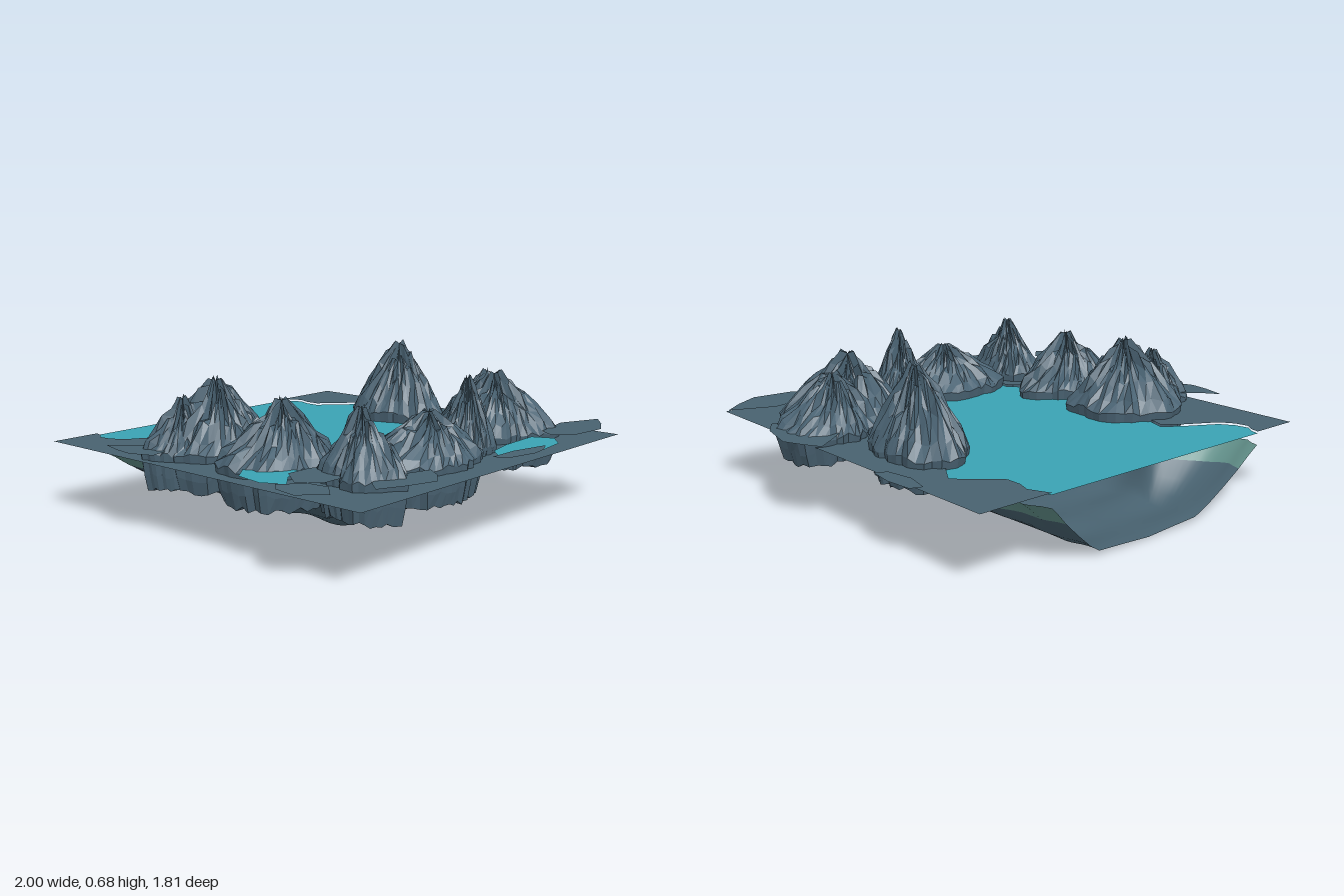
import * as THREE from 'three';

const material = (name, color, sheet) => {
  const m = new THREE.MeshStandardMaterial({ color });
  m.name = name;
  if (sheet) m.side = THREE.DoubleSide;
  return m;
};

// small seeded random generator
function seeded(seed) {
  let s = seed * 7919 + 17;
  return () => {
    s = (s * 16807) % 2147483647;
    return s / 2147483647;
  };
}

// shoreline from back left, round the front, to back right: [x, z]
const SHORE = [
  [-0.67, -0.91], [-0.68, -0.87], [-0.71, -0.83], [-0.7, -0.77], [-0.66, -0.71], [-0.52, -0.63], [-0.44, -0.57],
  [-0.47, -0.48], [-0.6, -0.25], [-0.62, 0], [-0.58, 0.2], [-0.41, 0.41], [-0.43, 0.47], [-0.25, 0.53], [0, 0.55],
  [0.24, 0.47], [0.42, 0.38], [0.55, 0.15], [0.58, -0.15], [0.63, -0.42],
  [0.71, -0.54], [0.65, -0.6], [0.55, -0.69], [0.55, -0.76], [0.57, -0.82], [0.53, -0.91],
];

// horizontal sheet from [x, z] points
function sheet(name, points, y, mat) {
  const shape = new THREE.Shape(points.map(([x, z]) => new THREE.Vector2(x, -z)));
  const geo = new THREE.ShapeGeometry(shape);
  geo.rotateX(-Math.PI / 2);
  geo.translate(0, y, 0);
  const mesh = new THREE.Mesh(geo, mat);
  mesh.name = name;
  return mesh;
}

// grid of vertices: rows of equal length turned into triangles
function gridGeometry(rows) {
  const n = rows[0].length, index = [];
  for (let i = 0; i < rows.length - 1; i++)
    for (let j = 0; j < n - 1; j++) {
      const a = i * n + j, b = a + n;
      index.push(a, b, a + 1, a + 1, b, b + 1);
    }
  const geo = new THREE.BufferGeometry();
  geo.setAttribute('position', new THREE.Float32BufferAttribute(rows.flat(2), 3));
  geo.setIndex(index);
  return geo;
}

// craggy peak with a rocky skirt; radii are taken every 30 degrees round the tip, from +x towards +z
function mountain([x, z, height, foot], radii, seed, mat) {
  const rnd = seeded(seed), N = 48;
  for (let i = 0; i < 5; i++) rnd();
  const outline = [];
  for (let j = 0; j < N; j++) {
    const k = Math.floor(j / 4), r = THREE.MathUtils.lerp(radii[k], radii[(k + 1) % 12], (j % 4) / 4);
    outline.push(r * (1 + (rnd() - 0.5) * 0.09));
  }
  // [spread, height]: foot, skirt, then the slopes up to the tip
  const levels = [[0, foot], [0.87, foot], [0.94, foot + 0.06], [1, 0.34]];
  const rise = height - 0.34;
  for (const [r, t] of [[0.84, 0.19], [0.65, 0.4], [0.46, 0.6], [0.27, 0.75], [0.11, 0.88], [0, 1]])
    levels.push([r, 0.34 + rise * t]);
  const rows = levels.map(([r, y], i) => {
    const slope = i > 3 && r > 0;
    const row = [];
    for (let j = 0; j < N; j++) {
      const a = (j / N) * Math.PI * 2;
      const k = r * outline[j] * (slope ? 1 + (rnd() - 0.5) * 0.2 : 1);
      const lift = slope ? (rnd() - 0.5) * 0.4 * rise * (1.1 - r) : i > 0 && r > 0 ? (rnd() - 0.5) * 0.025 : 0;
      row.push([x + Math.cos(a) * k, y + lift, z + Math.sin(a) * k]);
    }
    row.push(row[0]);
    return row;
  });
  const geo = gridGeometry(rows).toNonIndexed();
  geo.computeVertexNormals();
  const mesh = new THREE.Mesh(geo, mat);
  mesh.name = 'mountain';
  return mesh;
}

export function createModel() {
  const model = new THREE.Group();
  model.name = 'mountainLake';
  const rock = material('slate rock', 0x4a6373);
  const ground = material('slate ground', 0x486270, true);
  const water = material('teal water', 0x3aa3b4, true);
  const shallows = material('green shallows', 0x618f89, true);

  // ground around the water, and the water surface
  const corners = [[-0.9, -0.91], [-0.9, 0.86], [0.87, 0.86], [0.87, -0.91]];
  model.add(sheet('ground', [...corners, ...[...SHORE].reverse()], 0.31, ground));
  model.add(sheet('lakeWater', SHORE, 0.302, water));

  // lake bed: the shoreline blended level by level into a narrow channel, open at the back
  const curve = new THREE.CatmullRomCurve3(SHORE.map(([x, z]) => new THREE.Vector3(x, 0, z)));
  const line = curve.getSpacedPoints(100);
  const bedRow = ([t, y, narrow = 1]) => line.map((p) => {
    const channel = THREE.MathUtils.clamp(p.x * 0.7, -0.28, 0.28) * narrow;
    const pz = -0.91 + (p.z + 0.91) * THREE.MathUtils.lerp(1.07, 0.82, t);
    const wave = narrow > 0 ? 0.008 * Math.sin(pz * 21 + 1) : 0;
    return [THREE.MathUtils.lerp(p.x, channel, t), y + wave, pz];
  });
  const bed = (name, levels, mat) => {
    const geo = gridGeometry(levels.map(bedRow));
    geo.computeVertexNormals();
    const mesh = new THREE.Mesh(geo, mat);
    mesh.name = name;
    model.add(mesh);
  };
  bed('lakeBedRim', [[0, 0.245], [0.14, 0.21], [0.3, 0.165]], shallows);
  bed('lakeBedFloor', [
    [0.3, 0.165], [0.55, 0.105], [0.8, 0.05], [1, 0.016], [1, 0.009, 0.5], [1, 0.006, 0],
  ], ground);

  // mountains: [tip x, tip z, height, foot height], radii
  [
    [[-0.56, -0.23, 0.61, 0.18], [0.25, 0.27, 0.21, 0.23, 0.22, 0.26, 0.26, 0.27, 0.26, 0.31, 0.28, 0.3]],
    [[-0.71, -0.27, 0.55, 0.19], [0.15, 0.15, 0.16, 0.13, 0.12, 0.13, 0.15, 0.18, 0.13, 0.13, 0.14, 0.15]],
    [[-0.59, 0.18, 0.58, 0.18], [0.28, 0.22, 0.2, 0.22, 0.21, 0.24, 0.25, 0.28, 0.2, 0.2, 0.21, 0.22]],
    [[-0.56, 0.57, 0.59, 0.18], [0.11, 0.13, 0.18, 0.22, 0.18, 0.18, 0.13, 0.15, 0.17, 0.18, 0.16, 0.13]],
    [[-0.15, 0.57, 0.52, 0.18], [0.26, 0.24, 0.19, 0.19, 0.2, 0.25, 0.3, 0.29, 0.24, 0.23, 0.25, 0.26]],
    [[0.11, 0.57, 0.62, 0.24], [0.15, 0.14, 0.11, 0.1, 0.11, 0.12, 0.12, 0.12, 0.12, 0.11, 0.1, 0.16]],
    [[0.48, 0.45, 0.59, 0.19], [0.28, 0.31, 0.28, 0.2, 0.18, 0.22, 0.21, 0.24, 0.25, 0.32, 0.25, 0.26]],
    [[0.68, 0.27, 0.56, 0.22], [0.25, 0.25, 0.21, 0.2, 0.2, 0.2, 0.2, 0.21, 0.17, 0.19, 0.2, 0.26]],
    [[0.59, -0.18, 0.66, 0.2], [0.16, 0.18, 0.2, 0.25, 0.23, 0.18, 0.18, 0.2, 0.23, 0.27, 0.25, 0.19]],
  ].forEach(([place, radii], i) => model.add(mountain(place, radii, i + 3, rock)));

  // thin rock ledges
  const ledge = (y, points) => model.add(sheet('rockLedge', points, y, ground));
  ledge(0.316, [[0.85, -0.57], [0.9, -0.55], [0.91, -0.43], [0.89, -0.31], [0.84, -0.34], [0.82, -0.46]]);
  [
    [[-0.92, -0.51], [-0.87, -0.44], [-0.8, -0.38], [-0.8, -0.24], [-0.92, -0.21], [-0.96, -0.31], [-0.95, -0.4]],
    [[0.92, -0.01], [0.96, 0.06], [1, 0.15], [0.96, 0.32], [0.9, 0.41], [0.76, 0.36], [0.7, 0.15], [0.82, 0.06]],
    [[-0.93, 0.48], [-0.84, 0.56], [-0.83, 0.65], [-0.91, 0.73], [-1, 0.64], [-0.98, 0.53]],
    [[-0.78, 0.4], [-0.66, 0.4], [-0.56, 0.5], [-0.62, 0.6], [-0.8, 0.6], [-0.87, 0.52]],
    [[-0.68, 0.72], [-0.55, 0.71], [-0.38, 0.76], [-0.43, 0.83], [-0.51, 0.89], [-0.64, 0.85], [-0.75, 0.8]],
    [[-0.05, 0.81], [0.1, 0.81], [0.28, 0.85], [0.2, 0.89], [0.12, 0.9], [-0.02, 0.87]],
    [[0.52, 0.68], [0.74, 0.64], [0.93, 0.72], [0.84, 0.79], [0.73, 0.85], [0.54, 0.83], [0.47, 0.76]],
  ].forEach((points) => ledge(0.354, points));

  // small ponds beside the ledges
  [
    [[-0.82, 0.2], [-0.7, 0.3], [-0.7, 0.4], [-0.8, 0.42], [-0.88, 0.49], [-0.93, 0.4], [-0.91, 0.27]],
    [[0.22, 0.7], [0.42, 0.69], [0.46, 0.78], [0.38, 0.85], [0.24, 0.87], [0, 0.81], [0.08, 0.73]],
  ].forEach((points) => model.add(sheet('pond', points, 0.346, water)));

  return model;
}
